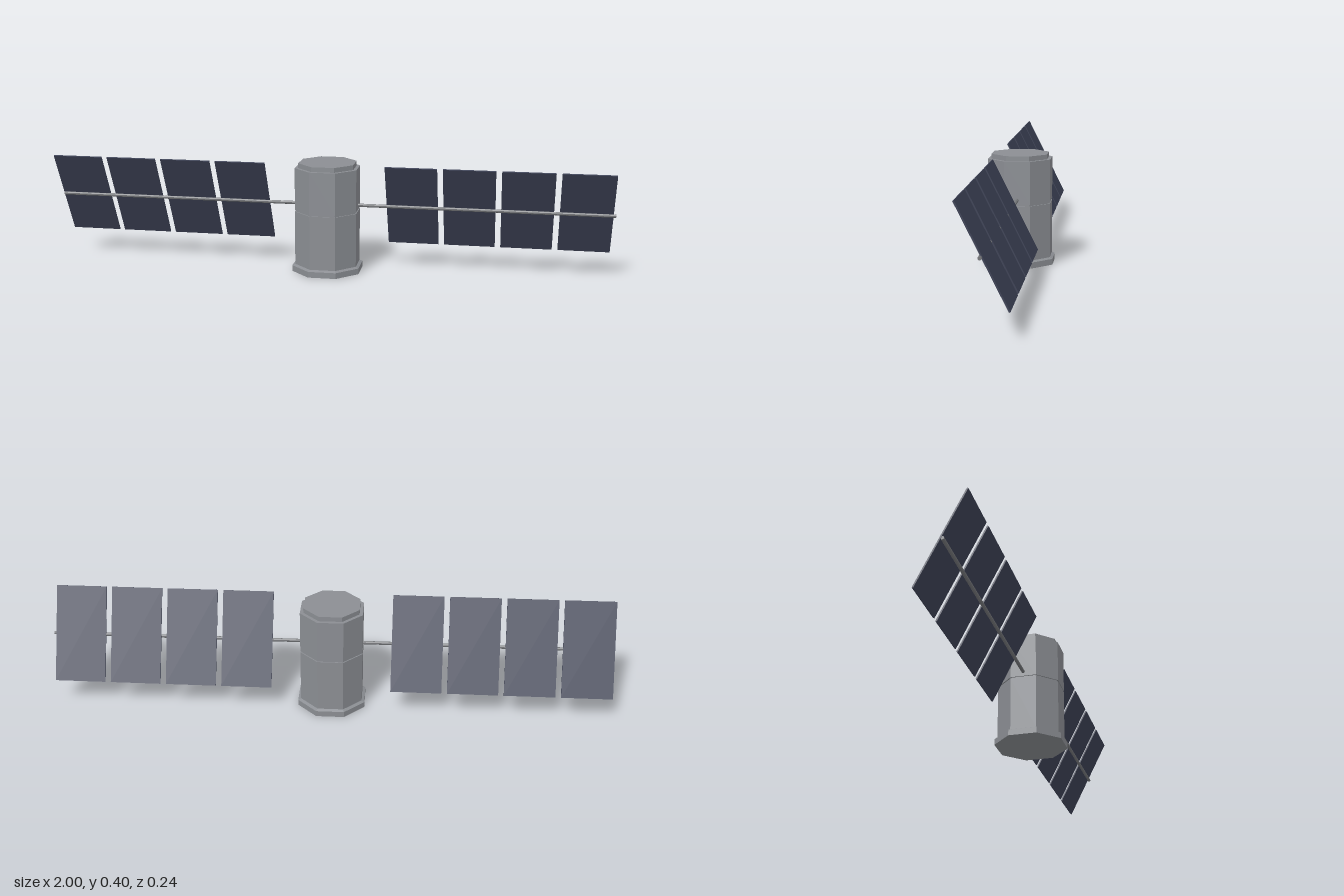
import * as THREE from 'three';

const flat = (name, color) => {
  const m = new THREE.MeshStandardMaterial({ color, flatShading: true });
  m.name = name;
  return m;
};

export function createModel() {
  const hull = flat('hull grey', 0x8b8e93);
  const strut = flat('strut grey', 0x77797c);
  const panelBlue = flat('panel blue', 0x3d4256);

  const model = new THREE.Group();
  model.name = 'satellite';
  const add = (parent, name, geometry, material, x = 0, y = 0, z = 0) => {
    const mesh = new THREE.Mesh(geometry, material);
    mesh.name = name;
    mesh.position.set(x, y, z);
    parent.add(mesh);
    return mesh;
  };

  // Eight-sided hull shells; profiles list [distance to flat side, height] from bottom to top
  const centre = -0.004;
  const octagon = (profile) => new THREE.LatheGeometry(
    profile.map(([a, y]) => new THREE.Vector2(a / Math.cos(Math.PI / 8), y)), 8, Math.PI / 8);
  add(model, 'baseFlange', octagon([[0, 0], [0.12, 0], [0.12, 0.021], [0.11, 0.026]]), hull, centre);
  add(model, 'body', octagon([
    [0.11, 0.026], [0.11, 0.22], [0.106, 0.22], [0.106, 0.225], [0.11, 0.225], [0.11, 0.377], [0.098, 0.377],
  ]), hull, centre);
  add(model, 'topCap', octagon([[0.098, 0.377], [0.098, 0.394], [0, 0.394]]), hull, centre);

  // Solar array, tilted so its upper edge leans forward
  const array = new THREE.Group();
  array.name = 'solarArray';
  array.position.set(0, 0.2435, -0.0045);
  array.rotation.x = 0.464;
  model.add(array);

  // Strut through the hull, running along the front of the panels
  const rod = add(array, 'strut', new THREE.CylinderGeometry(0.006, 0.006, 1.998, 8), strut, 0.001, 0, 0.005);
  rod.rotation.z = Math.PI / 2;

  // Four panels on each side
  const panel = new THREE.BoxGeometry(0.181, 0.344, 0.005);
  for (const side of [-1, 1]) {
    for (let i = 0; i < 4; i++) {
      add(array, side > 0 ? 'leftPanel' : 'rightPanel', panel, panelBlue, centre + side * (0.303 + i * 0.2008));
    }
  }
  return model;
}
